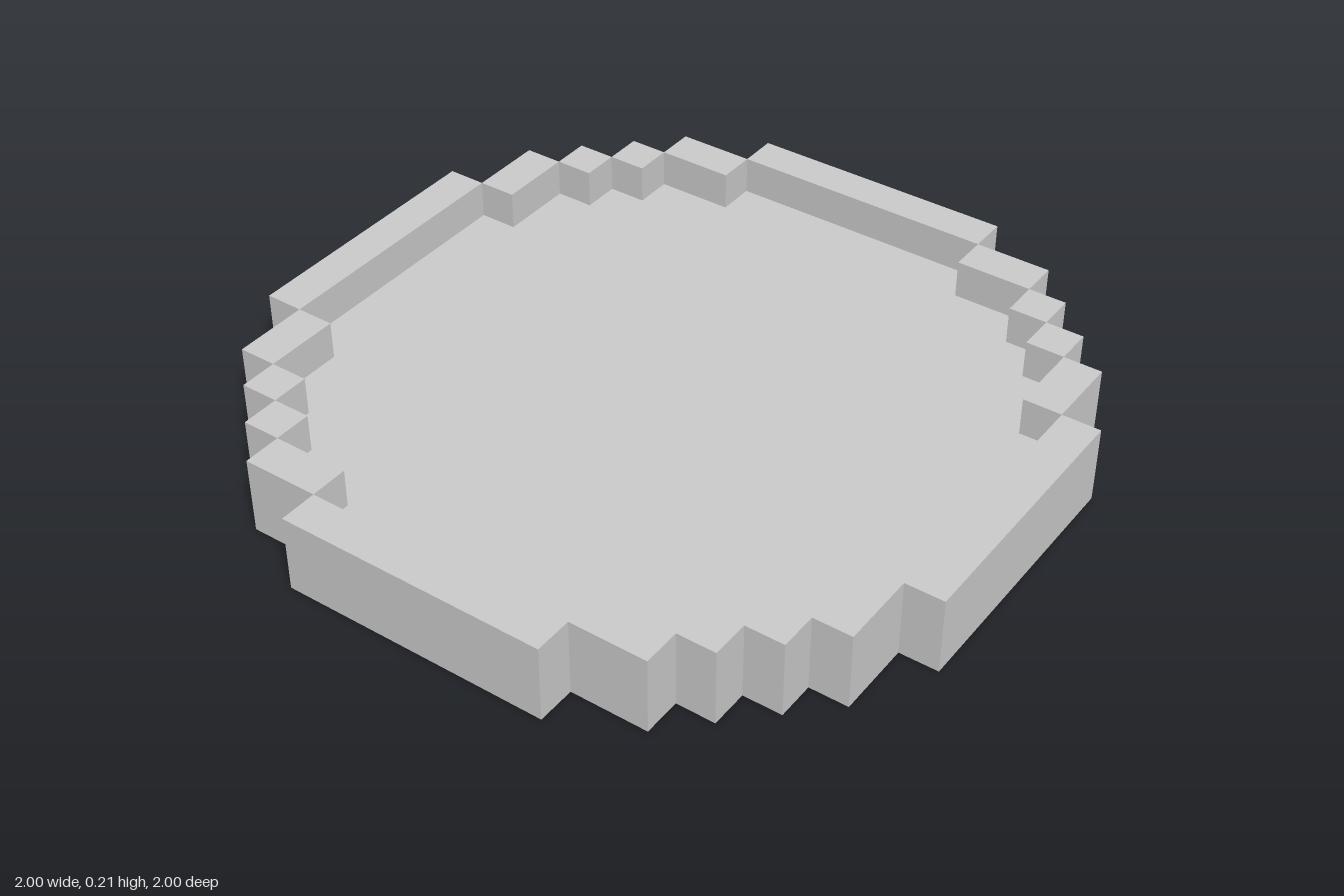
import * as THREE from 'three';

const U = 2 / 19; // one block
// Stepped quarter circle: [half width in x, outer edge in z] in blocks
const STEPS = [[3.5, 9.5], [5.5, 8.5], [6.5, 7.5], [7.5, 6.5], [8.5, 5.5], [9.5, 3.5]];

export function createModel() {
  const model = new THREE.Group();
  model.name = 'steppedRoundTray';
  const material = new THREE.MeshStandardMaterial({ color: 0xcccccc, flatShading: true });

  // Floor, one block thick, filling the stepped outline inside the rim
  const quarter = [];
  for (let i = 0; i < STEPS.length - 1; i++) {
    const [x, z] = STEPS[i];
    quarter.push([x, z - 1], [x, STEPS[i + 1][1] - 1]);
  }
  quarter.push([8.5, 3.5]);
  // Drop repeated and in-line corners at the end of the quarter
  const corners = quarter.filter(([x, z], i) => i === 0 || x !== quarter[i - 1][0] || z !== quarter[i - 1][1]);
  const flip = (sx, sz, list) => list.map(([x, z]) => new THREE.Vector2(sx * x * U, sz * z * U));
  const back = [...corners].reverse();
  const outline = new THREE.Shape([
    ...flip(1, 1, corners), ...flip(1, -1, back),
    ...flip(-1, -1, corners), ...flip(-1, 1, back),
  ]);
  const floorGeometry = new THREE.ExtrudeGeometry(outline, { depth: U, bevelEnabled: false });
  floorGeometry.rotateX(-Math.PI / 2);
  const floor = new THREE.Mesh(floorGeometry, material);
  floor.name = 'floor';
  model.add(floor);

  // Rim blocks, two blocks tall
  const rim = new THREE.Group();
  rim.name = 'rim';
  model.add(rim);
  function addBlock(name, x0, x1, z0, z1) {
    const box = new THREE.BoxGeometry((x1 - x0) * U, 2 * U, (z1 - z0) * U);
    const mesh = new THREE.Mesh(box, material);
    mesh.position.set((x0 + x1) / 2 * U, U, (z0 + z1) / 2 * U);
    mesh.name = name;
    rim.add(mesh);
  }

  // Long straight walls
  addBlock('frontWall', -3.5, 3.5, 8.5, 9.5);
  addBlock('backWall', -3.5, 3.5, -9.5, -8.5);
  addBlock('leftWall', 8.5, 9.5, -3.5, 3.5);
  addBlock('rightWall', -9.5, -8.5, -3.5, 3.5);

  // Stepped corners: x range and z range in one quarter, mirrored to all four
  const cornerBlocks = [
    [3.5, 5.5, 7.5, 8.5], [5.5, 6.5, 6.5, 7.5],
    [6.5, 7.5, 5.5, 6.5], [7.5, 8.5, 3.5, 5.5],
  ];
  for (const sx of [1, -1]) {
    for (const sz of [1, -1]) {
      const name = (sz > 0 ? 'front' : 'back') + (sx > 0 ? 'Left' : 'Right') + 'Step';
      for (const [a, b, c, d] of cornerBlocks) {
        const [x0, x1] = sx > 0 ? [a, b] : [-b, -a];
        const [z0, z1] = sz > 0 ? [c, d] : [-d, -c];
        addBlock(name, x0, x1, z0, z1);
      }
    }
  }
  return model;
}
